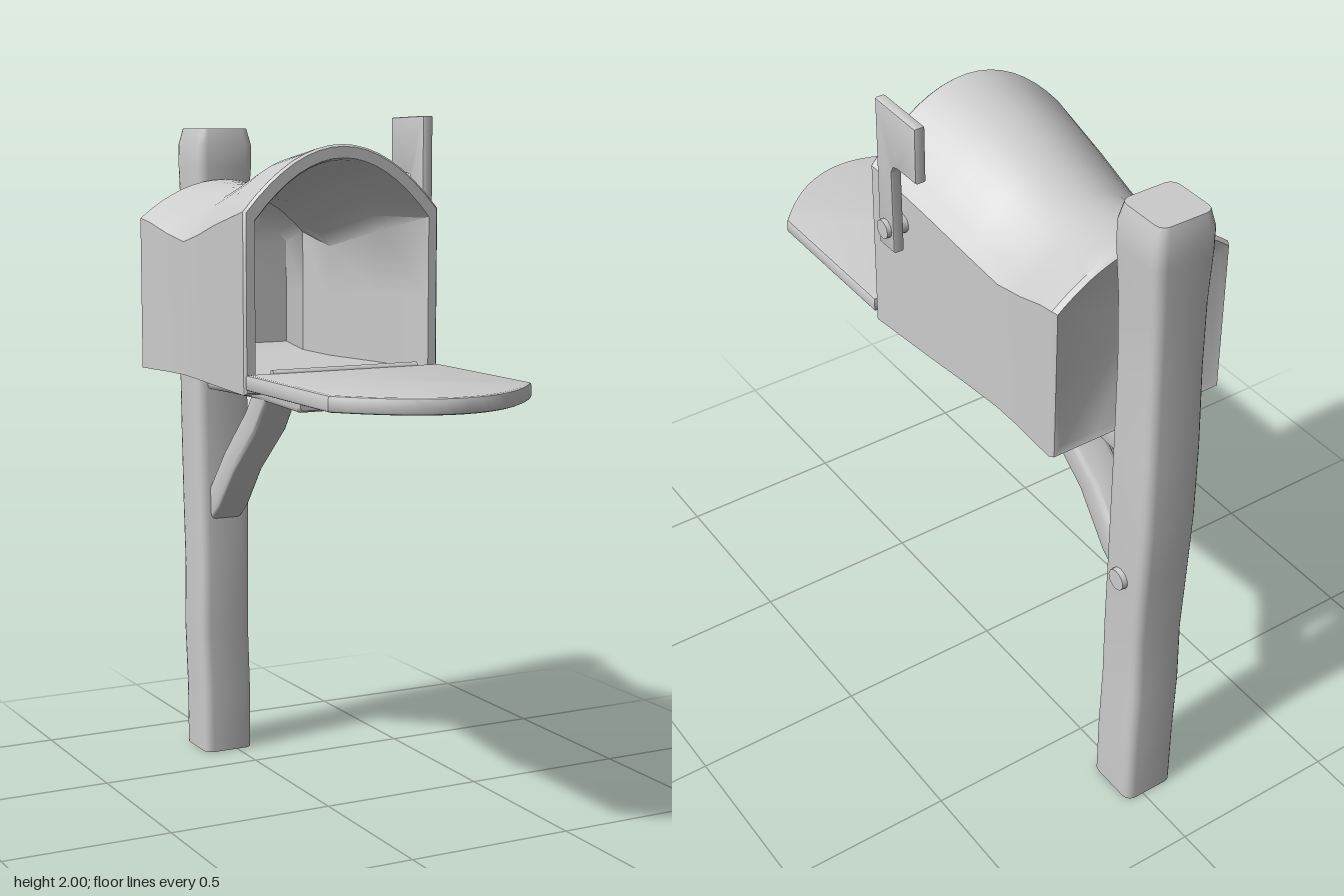
import * as THREE from 'three';
import { toCreasedNormals } from 'three/addons/utils/BufferGeometryUtils.js';

const V = (x, y, z) => new THREE.Vector3(x, y, z);
const material = new THREE.MeshStandardMaterial({ color: 0xcccccc });

function add(group, name, geometry, x = 0, y = 0, z = 0) {
  const mesh = new THREE.Mesh(geometry, material);
  mesh.name = name;
  mesh.position.set(x, y, z);
  group.add(mesh);
  return mesh;
}

// Skin through equal-sized rings, closed with a fan at both ends
function loft(rings, crease) {
  const n = rings[0].length, index = [];
  const points = rings.flat();
  const centre = (ring) => ring.reduce((s, p) => s.add(p), V(0, 0, 0)).divideScalar(n);
  const first = points.length, last = first + 1, end = (rings.length - 1) * n;
  const all = [...points, centre(rings[0]), centre(rings[rings.length - 1])];
  for (let j = 0; j < n; j++) {
    const k = (j + 1) % n;
    for (let i = 0; i < rings.length - 1; i++) {
      const a = i * n + j, b = i * n + k;
      index.push(a, b, b + n, a, b + n, a + n);
    }
    index.push(first, k, j, last, end + j, end + k);
  }
  const geometry = new THREE.BufferGeometry().setFromPoints(all);
  geometry.setIndex(index);
  return toCreasedNormals(geometry, crease);
}

// Mailbox cross-section: straight walls under a shallow arch
function boxRing(z, left, right, bottom, shoulder, top) {
  const cx = (left + right) / 2, hw = (right - left) / 2, ring = [];
  for (const t of [-1, -0.5, 0, 0.5, 1]) ring.push(V(cx + hw * t, bottom, z));
  ring.push(V(right, (bottom + shoulder) / 2, z));
  for (let i = 0; i <= 16; i++) {
    const t = 1 - i / 8;
    ring.push(V(cx + hw * t, shoulder + (top - shoulder) * (1 - t * t), z));
  }
  ring.push(V(left, (bottom + shoulder) / 2, z));
  return ring;
}

// Rough timber: rounded-square rings [x, y, z, width, depth] along a direction
function timber(stations, dir) {
  const X = V(1, 0, 0), N = dir.clone().cross(X);
  const rings = stations.map(([x, y, z, w, h]) => {
    const ring = [];
    for (let q = 0; q < 4; q++) {
      const sx = q === 0 || q === 3 ? 1 : -1, sn = q < 2 ? 1 : -1;
      const r = 0.16 * Math.min(w, h);
      for (let i = 0; i <= 3; i++) {
        const a = (q + i / 3) * Math.PI / 2;
        ring.push(V(x, y, z)
          .addScaledVector(X, sx * (w / 2 - r) + r * Math.cos(a))
          .addScaledVector(N, sn * (h / 2 - r) + r * Math.sin(a)));
      }
    }
    return ring;
  });
  return loft(rings, 0.75);
}

function bolt(group, name, radius, length, x, y, z) {
  const geometry = new THREE.CylinderGeometry(radius * 0.9, radius, length, 20);
  add(group, name, geometry.rotateZ(-Math.PI / 2), x, y, z);
}

export function createModel() {
  const model = new THREE.Group();
  model.name = 'mailbox';

  // Post with a slightly crooked trunk and bevelled head
  add(model, 'post', timber([
    [-0.025, 0, -0.721, 0.16, 0.168],
    [-0.026, 0.2, -0.72, 0.162, 0.167],
    [-0.033, 0.4, -0.718, 0.164, 0.165],
    [-0.032, 0.6, -0.715, 0.163, 0.162],
    [-0.03, 0.8, -0.723, 0.168, 0.165],
    [-0.027, 1.02, -0.732, 0.172, 0.17],
    [-0.032, 1.25, -0.726, 0.172, 0.168],
    [-0.03, 1.5, -0.722, 0.166, 0.165],
    [-0.028, 1.7, -0.719, 0.168, 0.172],
    [-0.024, 1.85, -0.72, 0.184, 0.182],
    [-0.024, 1.915, -0.72, 0.184, 0.182],
    [-0.024, 1.965, -0.72, 0.16, 0.16],
  ], V(0, 1, 0)));

  // Horizontal arm under the box
  add(model, 'arm', timber([
    [-0.032, 1.21, -0.018, 0.095, 0.072],
    [-0.032, 1.21, -0.03, 0.11, 0.084],
    [-0.03, 1.214, -0.3, 0.112, 0.076],
    [-0.034, 1.212, -0.5, 0.11, 0.08],
    [-0.032, 1.208, -0.68, 0.112, 0.084],
  ], V(0, 0, -1)));

  // Diagonal brace between arm and post
  add(model, 'brace', timber([
    [-0.03, 0.775, -0.685, 0.105, 0.085],
    [-0.03, 0.83, -0.62, 0.106, 0.088],
    [-0.036, 0.96, -0.5, 0.1, 0.088],
    [-0.024, 1.1, -0.365, 0.108, 0.088],
    [-0.03, 1.21, -0.27, 0.106, 0.085],
  ], V(0, 0.74, 0.67).normalize()));
  bolt(model, 'braceBolt', 0.034, 0.04, 0.05, 0.81, -0.715);

  // Pinched box: outer skin back to front, then rim and inner skin
  add(model, 'box', loft([
    boxRing(-0.626, -0.28, 0.2, 1.27, 1.67, 1.775),
    boxRing(-0.634, -0.306, 0.225, 1.252, 1.695, 1.804),
    boxRing(-0.62, -0.314, 0.233, 1.25, 1.7, 1.812),
    boxRing(-0.57, -0.306, 0.231, 1.25, 1.69, 1.807),
    boxRing(-0.48, -0.288, 0.227, 1.25, 1.66, 1.802),
    boxRing(-0.38, -0.278, 0.227, 1.25, 1.64, 1.804),
    boxRing(-0.25, -0.289, 0.238, 1.25, 1.665, 1.843),
    boxRing(-0.1, -0.304, 0.254, 1.25, 1.7, 1.888),
    boxRing(0.13, -0.325, 0.276, 1.25, 1.745, 1.923),
    boxRing(0.138, -0.319, 0.27, 1.256, 1.742, 1.917),
    boxRing(0.138, -0.293, 0.245, 1.292, 1.722, 1.886),
    boxRing(0.125, -0.288, 0.24, 1.296, 1.718, 1.88),
    boxRing(-0.1, -0.274, 0.224, 1.29, 1.675, 1.855),
    boxRing(-0.38, -0.25, 0.2, 1.285, 1.615, 1.775),
    boxRing(-0.56, -0.27, 0.2, 1.285, 1.65, 1.775),
    boxRing(-0.595, -0.23, 0.16, 1.31, 1.62, 1.73),
  ], 0.65));

  // Open door lying flat, arched at its far end
  const door = new THREE.Shape();
  door.moveTo(-0.317, 0.152);
  door.lineTo(0.268, 0.152);
  for (let i = 0; i <= 20; i++) {
    const t = 1 - i / 10;
    door.lineTo(-0.0245 + 0.2925 * t, 0.625 + 0.178 * (1 - t * t));
  }
  const doorGeometry = new THREE.ExtrudeGeometry(door, {
    depth: 0.028, bevelSize: 0.008, bevelThickness: 0.008, bevelSegments: 2,
  }).rotateX(Math.PI / 2);
  add(model, 'door', toCreasedNormals(doorGeometry, 0.5), 0, 1.3, 0);
  const hinge = new THREE.CylinderGeometry(0.012, 0.012, 0.45, 12).rotateZ(Math.PI / 2);
  add(model, 'hinge', hinge, -0.024, 1.306, 0.148);

  // Signal flag on the model's left wall
  const flag = new THREE.Shape([
    [-0.036, 1.575], [0.023, 1.575], [0.02, 1.815], [0.032, 1.838], [0.055, 1.844],
    [0.137, 1.844], [0.137, 1.99], [-0.036, 1.994],
  ].map(([s, y]) => new THREE.Vector2(s, y)));
  const flagGeometry = new THREE.ExtrudeGeometry(flag, {
    depth: 0.022, bevelSize: 0.006, bevelThickness: 0.005, bevelSegments: 2,
  }).rotateY(Math.PI / 2);
  add(model, 'flag', toCreasedNormals(flagGeometry, 0.5), 0.285, 0, 0);
  bolt(model, 'flagBolt', 0.029, 0.07, 0.29, 1.63, 0.006);

  return model;
}
